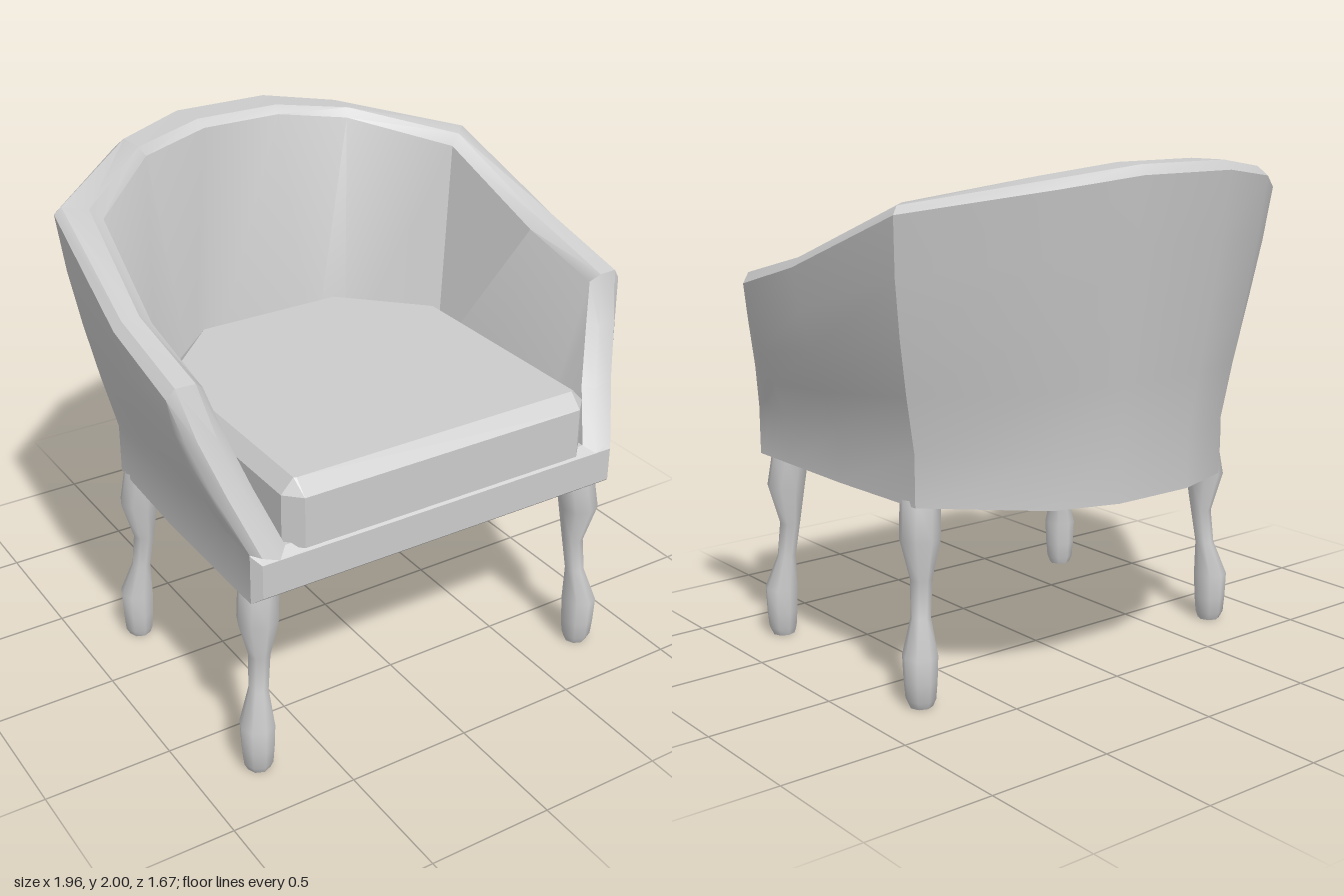
import * as THREE from 'three';
import { toCreasedNormals } from 'three/addons/utils/BufferGeometryUtils.js';

const material = new THREE.MeshStandardMaterial({ color: 0xcccccc, side: THREE.DoubleSide });

// Skin a list of cross-sections (each a list of [x, y, z]) with quads.
function loft(name, sections, { closed = false, crease = 0.6 } = {}) {
  const pos = [];
  const same = (a, b) => Math.hypot(a[0] - b[0], a[1] - b[1], a[2] - b[2]) < 1e-5;
  const tri = (a, b, c) => {
    if (!same(a, b) && !same(b, c) && !same(a, c)) pos.push(...a, ...b, ...c);
  };
  for (let s = 0; s < sections.length - 1; s++) {
    const A = sections[s], B = sections[s + 1], n = A.length;
    for (let p = 0; p < (closed ? n : n - 1); p++) {
      const q = (p + 1) % n;
      tri(A[p], B[p], B[q]);
      tri(A[p], B[q], A[q]);
    }
  }
  const geo = new THREE.BufferGeometry();
  geo.setAttribute('position', new THREE.Float32BufferAttribute(pos, 3));
  const mesh = new THREE.Mesh(toCreasedNormals(geo, crease), material);
  mesh.name = name;
  return mesh;
}

const mirror = ([x, y, z]) => [-x, y, z];
const lerp = THREE.MathUtils.lerp;
const BASE = 0.77, WAIST = 0.97, FLOOR = 0.95;

// Half of the shell, from arm front to back: outer foot [x, z], four rim points, inner foot [x, z].
const stations = [
  { out: [0.80, 0.80], rim: [[0.80, 0.97, 0.80], [0.77, 0.965, 0.835], [0.70, 0.935, 0.835], [0.66, 0.965, 0.80]], inn: [0.66, 0.80] },
  { out: [0.80, 0.695], rim: [[0.87, 1.16, 0.695], [0.84, 1.17, 0.73], [0.765, 1.15, 0.73], [0.725, 1.16, 0.695]], inn: [0.66, 0.695] },
  { out: [0.80, 0.62], rim: [[0.935, 1.36, 0.62], [0.905, 1.37, 0.65], [0.83, 1.36, 0.65], [0.79, 1.36, 0.62]], inn: [0.66, 0.62] },
  { out: [0.80, 0.575], rim: [[0.975, 1.51, 0.575], [0.945, 1.55, 0.585], [0.87, 1.55, 0.59], [0.835, 1.52, 0.57]], inn: [0.66, 0.57] },
  { out: [0.80, 0.20], rim: [[0.98, 1.61, 0.20], [0.95, 1.645, 0.20], [0.88, 1.645, 0.20], [0.835, 1.61, 0.20]], inn: [0.66, 0.20] },
  { out: [0.78, -0.27], rim: [[0.93, 1.84, -0.385], [0.905, 1.87, -0.37], [0.83, 1.87, -0.29], [0.785, 1.83, -0.27]], inn: [0.66, -0.16] },
  { out: [0.42, -0.61], rim: [[0.51, 1.925, -0.74], [0.485, 1.96, -0.71], [0.48, 1.96, -0.59], [0.46, 1.925, -0.57]], inn: [0.37, -0.43] },
  { out: [0.17, -0.69], rim: [[0.21, 1.965, -0.84], [0.20, 2.0, -0.81], [0.18, 2.0, -0.67], [0.17, 1.97, -0.635]], inn: [0.25, -0.485] },
];

// One wall section: up the outside with a flare, over the rim, down the inside.
function wallSection({ out, rim, inn }) {
  const column = [[out[0], BASE, out[1]]];
  for (const t of [0, 0.25, 0.5, 0.75]) {
    const flare = 1 - (1 - t) ** 1.4;
    column.push([lerp(out[0], rim[0][0], flare), lerp(WAIST, rim[0][1], t), lerp(out[1], rim[0][2], t)]);
  }
  return [...column, ...rim, [inn[0], FLOOR, inn[1]]];
}

// Front rail profile: chamfered along its top, bottom and ends.
function railSection(x, z, low, high) {
  return [[x, BASE, 0.6], [x, BASE, 0.80], [x, low, z], [x, high, z], [x, 0.965, 0.80], [x, 0.965, 0.6]];
}

// Seat cushion outlines, [x, z] for the +x half from back to front.
function ring(half, y) {
  const pts = half.map(([x, z]) => [x, y, z]);
  return [...pts, ...pts.map(mirror).reverse()];
}

// Curved leg: [height, distance from the centre line, radius] from foot to seat.
const legProfile = [
  [0, 0.755, 0], [0, 0.755, 0.045], [0.03, 0.757, 0.058], [0.1, 0.757, 0.064], [0.2, 0.757, 0.068],
  [0.34, 0.738, 0.038], [0.48, 0.725, 0.042], [0.64, 0.733, 0.078], [0.79, 0.715, 0.077],
];

function makeLeg(name, side, front) {
  const sections = legProfile.map(([y, d, r]) => {
    const cx = side * d, cz = front ? d - 0.01 : 0.505 - d;
    return Array.from({ length: 8 }, (_, i) => {
      const a = (i / 8) * Math.PI * 2;
      return [cx + r * Math.cos(a), y, cz + r * Math.sin(a)];
    });
  });
  return loft(name, sections, { closed: true, crease: 0.9 });
}

export function createModel() {
  const model = new THREE.Group();
  model.name = 'armchair';

  // Wrap-around back and arms
  const half = stations.map(wallSection);
  const walls = [...half, ...half.map((s) => s.map(mirror)).reverse()];
  model.add(loft('backAndArms', walls));

  // Underside and seat floor
  const foot = (key, y) => stations.map((s) => [s[key][0], y, s[key][1]]);
  model.add(loft('underside', foot('out', BASE).map((p) => [mirror(p), p])));
  model.add(loft('seatFloor', foot('inn', FLOOR).map((p) => [p, mirror(p)])));

  // Front rail
  model.add(loft('frontRail', [
    railSection(-0.80, 0.80, BASE, 0.965),
    railSection(-0.77, 0.835, 0.80, 0.935),
    railSection(0.77, 0.835, 0.80, 0.935),
    railSection(0.80, 0.80, BASE, 0.965),
  ], { crease: 0.3 }));

  // Cushion with bevelled top
  const edge = [[0.25, -0.485], [0.37, -0.43], [0.66, -0.16], [0.66, 0.775], [0.60, 0.835]];
  const top = [[0.22, -0.43], [0.31, -0.43], [0.61, -0.13], [0.61, 0.775], [0.60, 0.78]];
  model.add(loft('seatCushion', [
    ring(edge, FLOOR), ring(edge, 1.15), ring(top, 1.205), ring(top.map(() => [0, 0.2]), 1.205),
  ], { closed: true, crease: 0.3 }));

  // Four legs
  for (const [label, side] of [['Left', 1], ['Right', -1]]) {
    model.add(makeLeg(`front${label}Leg`, side, true));
    model.add(makeLeg(`back${label}Leg`, side, false));
  }
  return model;
}
